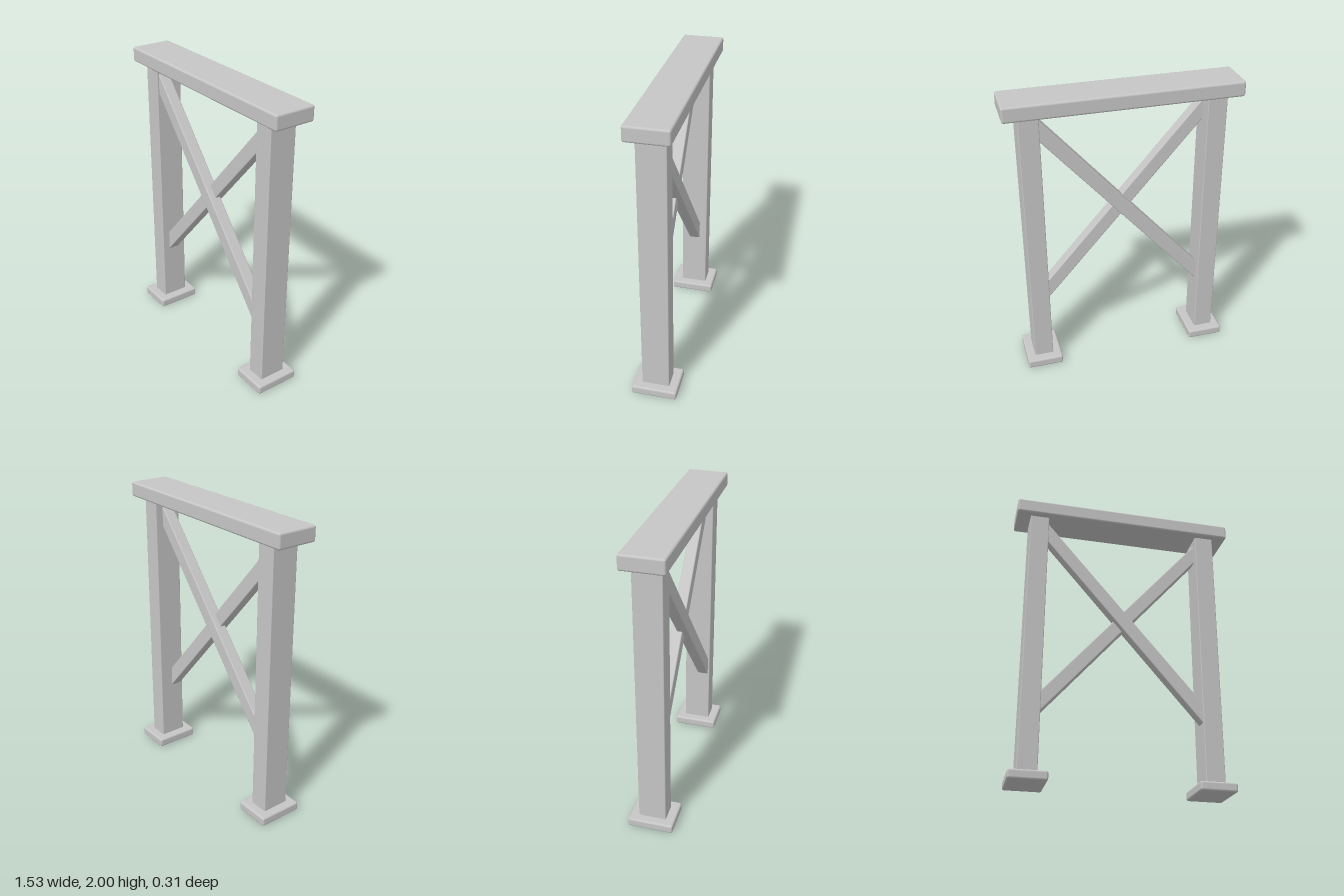
import * as THREE from 'three';
import { RoundedBoxGeometry } from 'three/addons/geometries/RoundedBoxGeometry.js';

export function createModel() {
  const group = new THREE.Group();
  const grey = new THREE.MeshStandardMaterial({ color: 0xc6c6c6 });
  grey.name = 'plain grey';

  // Box with softened edges
  const block = (name, w, h, d, x, y, z, bevel) => {
    const mesh = new THREE.Mesh(new RoundedBoxGeometry(w, h, d, 2, bevel), grey);
    mesh.name = name;
    mesh.position.set(x, y, z);
    group.add(mesh);
    return mesh;
  };

  // Top beam
  block('topBeam', 1.53, 0.1, 0.28, 0, 1.95, 0, 0.014);

  // Posts and their feet
  for (const [side, s] of [['left', 1], ['right', -1]]) {
    block(side + 'Post', 0.13, 1.87, 0.186, s * 0.603, 0.985, 0, 0.006);
    block(side + 'Foot', 0.248, 0.062, 0.308, s * 0.602, 0.033, 0, 0.014);
  }

  // Crossed braces, the front one lapping over the centred one
  const slope = Math.atan2(1.245, 1.08);
  const length = 1.2 / Math.cos(slope);
  block('frontBrace', length, 0.095, 0.08, 0, 1.165, 0.04, 0.008).rotation.z = -slope;
  block('backBrace', length, 0.095, 0.08, 0, 1.165, 0, 0.008).rotation.z = slope;

  return group;
}
